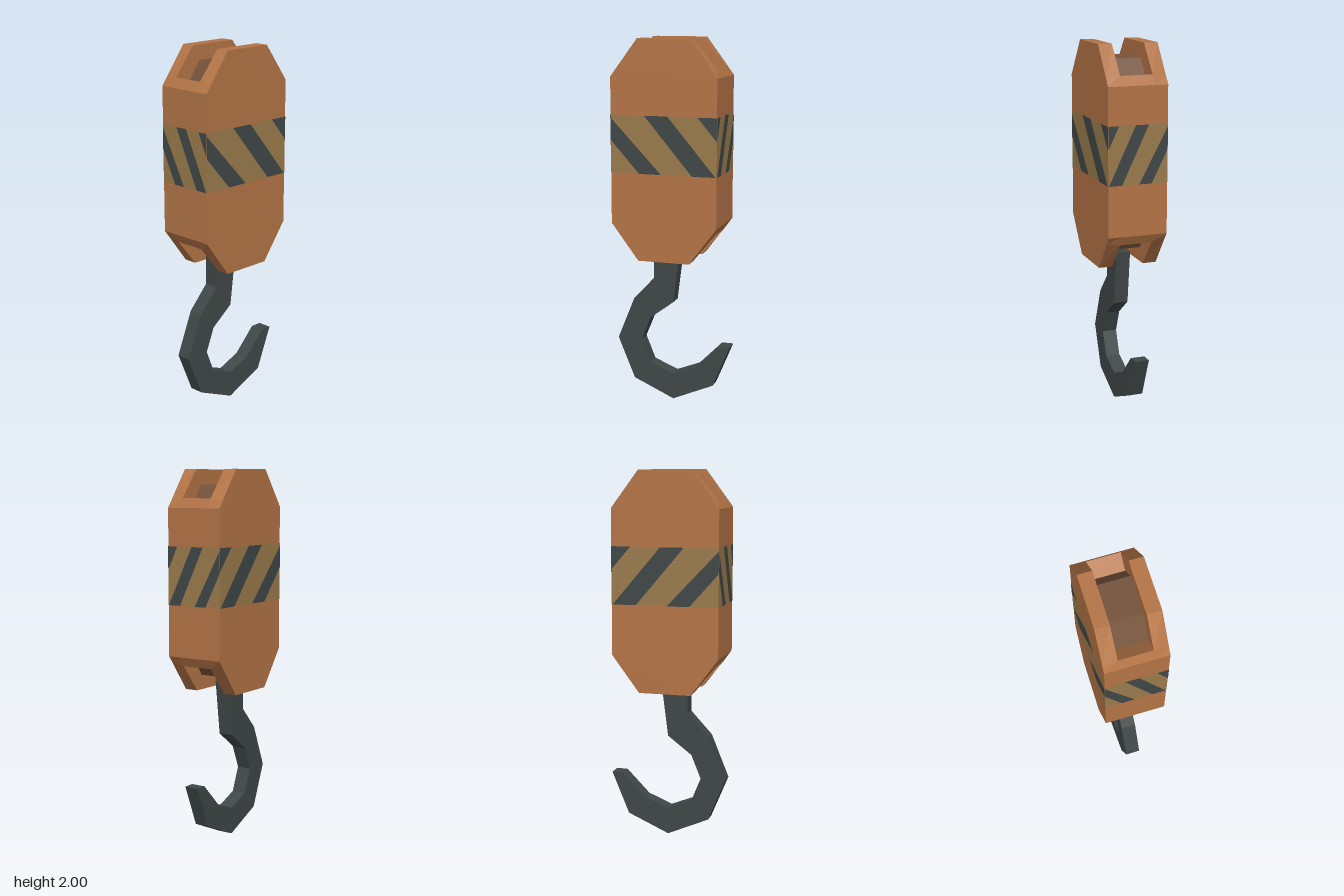
import * as THREE from 'three';

const CZ = 0.0125, CY = 1.4075; // centre of the housing

// Prism from a [z, y] outline, extruded from x0 to x1
function prism(points, x0, x1) {
  const shape = new THREE.Shape(points.map(([z, y]) => new THREE.Vector2(-z, y)));
  const geo = new THREE.ExtrudeGeometry(shape, { depth: x1 - x0, bevelEnabled: false });
  return geo.rotateY(Math.PI / 2).translate(x0, 0, 0);
}

// Mirror one quarter of an outline (lower side to top) into a closed loop
function fourWay(quarter) {
  const loop = [];
  for (const [sz, sy, flip] of [[1, 1, false], [-1, 1, true], [-1, -1, false], [1, -1, true]]) {
    const part = flip ? [...quarter].reverse() : quarter;
    for (const [z, y] of part) loop.push([CZ + sz * z, CY + sy * y]);
  }
  return loop;
}

export function createModel() {
  const model = new THREE.Group();
  const material = (name, color) => {
    const m = new THREE.MeshStandardMaterial({ color, side: THREE.DoubleSide });
    m.name = name;
    return m;
  };
  const orange = material('orange paint', 0xb47446);
  const brown = material('brown core', 0x75523a);
  const yellow = material('dull yellow', 0x9a7b4c);
  const dark = material('dark steel', 0x404747);

  const add = (name, geo, mat, parent = model) => {
    const mesh = new THREE.Mesh(geo, mat);
    mesh.name = name;
    parent.add(mesh);
    return mesh;
  };

  // Side cheeks; the slot edge of each sloped corner bulges slightly
  const cheekOutline = fourWay([[0.2925, 0.3925], [0.2645, 0.43], [0.1425, 0.5925]]);
  for (const [name, x0, x1] of [['leftCheek', 0.088, 0.163], ['rightCheek', -0.163, -0.088]]) {
    const geo = prism(cheekOutline, x0, x1);
    const p = geo.attributes.position;
    for (let i = 0; i < p.count; i++) {
      const dy = p.getY(i) - CY;
      if (Math.abs(p.getX(i)) < 0.1 && Math.abs(Math.abs(dy) - 0.43) < 0.002) {
        p.setY(i, p.getY(i) + Math.sign(dy) * 0.0125);
      }
    }
    geo.computeVertexNormals();
    add(name, geo, orange);
  }

  // Middle of the housing with the lips of the slots, and the core inside
  add('housingMiddle', prism(fourWay([[0.2925, 0.3925], [0.2645, 0.4425], [0.1905, 0.3825]]), -0.088, 0.088), orange);
  add('core', prism(fourWay([[0.1905, 0.3825], [0.1005, 0.5125]]), -0.088, 0.088), brown);

  // Warning band: stripes as [across, down] fractions of each panel
  const stripes = [
    [[0, 0.05], [0.48, 1], [0.27, 1], [0, 0.43]],
    [[0.32, 0], [0.54, 0], [0.99, 1], [0.77, 1]],
    [[0.82, 0], [1, 0], [1, 0.4]],
  ];
  const top = 1.6, height = 0.31;
  const panel = (points, width) => new THREE.ShapeGeometry(
    new THREE.Shape(points.map(([u, v]) => new THREE.Vector2((u - 0.5) * width, top - v * height))));
  const sides = [
    ['frontBand', 0.326, 0, 0, 1],
    ['backBand', 0.326, 0, 0, -1],
    ['leftBand', 0.585, Math.PI / 2, 1, 0],
    ['rightBand', 0.585, Math.PI / 2, -1, 0],
  ];
  for (const [name, width, turn, nx, nz] of sides) {
    const band = new THREE.Group();
    band.name = name;
    model.add(band);
    const place = (mesh, lift) => {
      mesh.rotation.y = turn;
      mesh.position.set(nx * (0.163 + lift), 0, CZ + nz * (0.2925 + lift));
    };
    place(add('bandBase', panel([[0, 0], [1, 0], [1, 1], [0, 1]], width), yellow, band), 0.001);
    for (const s of stripes) place(add('stripe', panel(s, width), dark, band), 0.002);
  }

  // Faceted hook
  add('hook', prism([
    [0.111, 0.86], [0.111, 0.69], [0.228, 0.564], [0.323, 0.33], [0.228, 0.1], [0, 0],
    [-0.228, 0.1], [-0.323, 0.33], [-0.26, 0.33], [-0.132, 0.2], [0, 0.147], [0.132, 0.2],
    [0.185, 0.33], [0.132, 0.46], [0, 0.56], [-0.038, 0.86],
  ], -0.05, 0.03), dark);

  return model;
}
